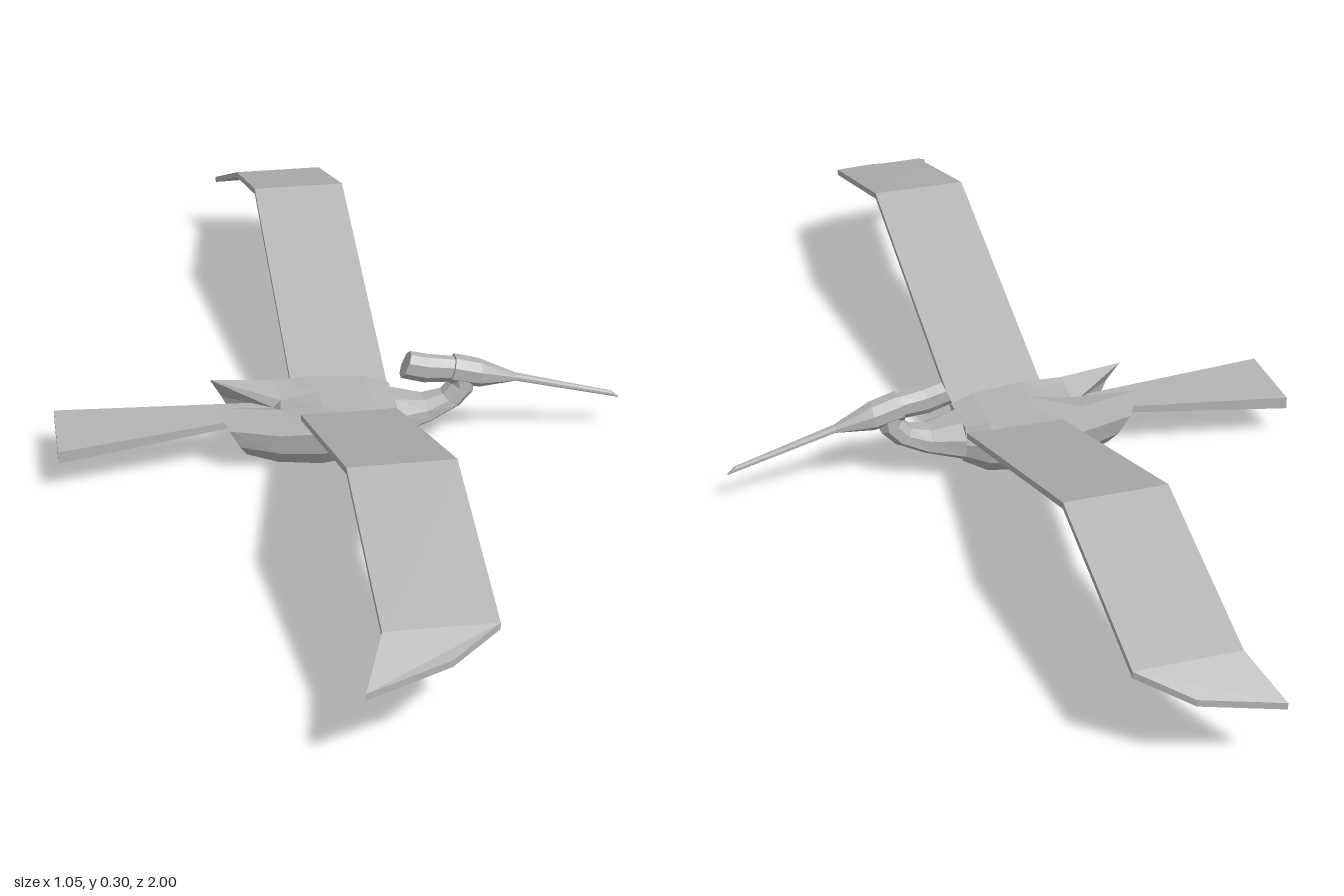
import * as THREE from 'three';

const grey = new THREE.MeshStandardMaterial({ color: 0xb4b4b4 });
grey.name = 'plumage grey';

// Faceted skin over a row of closed rings, capped at both ends
function skin(name, rings, flip = false) {
  const pos = [];
  const tri = (a, b, c) => pos.push(...a, ...(flip ? c : b), ...(flip ? b : c));
  const n = rings[0].length;
  for (let s = 0; s < rings.length - 1; s++) {
    for (let i = 0; i < n; i++) {
      const j = (i + 1) % n;
      tri(rings[s][i], rings[s][j], rings[s + 1][j]);
      tri(rings[s][i], rings[s + 1][j], rings[s + 1][i]);
    }
  }
  const first = rings[0], last = rings[rings.length - 1];
  for (let i = 1; i < n - 1; i++) {
    tri(first[0], first[i + 1], first[i]);
    tri(last[0], last[i], last[i + 1]);
  }
  const geo = new THREE.BufferGeometry();
  geo.setAttribute('position', new THREE.Float32BufferAttribute(pos, 3));
  geo.computeVertexNormals();
  const mesh = new THREE.Mesh(geo, grey);
  mesh.name = name;
  return mesh;
}

// Half cross-sections from top to bottom: [height share, width share]
const HULL = [[1, 0.8], [0.6, 1], [0.25, 0.9], [0, 0.6]];
const ROUND = [[1, 0.45], [0.72, 1], [0.28, 1], [0, 0.45]];

// Station: bottom x, bottom y, top x, top y, half width, optional top centre x, y
function section([bx, by, tx, ty, w, cx = tx, cy = ty], half) {
  const at = ([t, k], side) => [bx + (tx - bx) * t, by + (ty - by) * t, side * w * k];
  return [
    [cx, cy, 0],
    ...half.map((p) => at(p, 1)),
    ...half.slice().reverse().map((p) => at(p, -1)),
  ];
}
const loft = (name, stations, half) => skin(name, stations.map((s) => section(s, half)));

// Thin wing; each row is rear x, y, z and front x, y, z along its top
function wing(name, rows, flip) {
  const t = 0.012;
  return skin(name, rows.map(([rx, ry, rz, fx, fy, fz]) => [
    [fx, fy - t, fz], [fx, fy, fz], [rx, ry, rz], [rx, ry - t, rz],
  ]), flip);
}

export function createModel() {
  const bird = new THREE.Group();
  bird.name = 'flyingBird';

  // Boat-shaped body with a notched stern
  bird.add(loft('body', [
    [-0.185, 0.03, -0.24, 0.139, 0.068, -0.13, 0.1],
    [-0.127, 0.01, -0.124, 0.126, 0.072, -0.115, 0.115],
    [-0.045, 0, -0.045, 0.129, 0.073],
    [0.05, 0.012, 0.05, 0.122, 0.07],
    [0.095, 0.036, 0.093, 0.112, 0.056],
  ], HULL));

  // Neck bending up from the breast
  bird.add(loft('neck', [
    [0.095, 0.036, 0.093, 0.112, 0.056],
    [0.163, 0.056, 0.15, 0.101, 0.036],
    [0.217, 0.083, 0.185, 0.109, 0.028],
    [0.242, 0.11, 0.203, 0.129, 0.025],
    [0.246, 0.145, 0.2, 0.155, 0.022],
  ], ROUND));

  // Head running into the long beak
  bird.add(loft('headAndBeak', [
    [0.197, 0.13, 0.21, 0.18, 0.025],
    [0.255, 0.118, 0.258, 0.166, 0.025],
    [0.325, 0.121, 0.325, 0.134, 0.01],
    [0.515, 0.071, 0.512, 0.081, 0.005],
    [0.525, 0.067, 0.525, 0.07, 0.002],
  ], ROUND));

  // Crest pointing backwards
  bird.add(loft('crest', [
    [0.107, 0.147, 0.126, 0.193, 0.019],
    [0.15, 0.134, 0.16, 0.184, 0.018],
    [0.205, 0.131, 0.215, 0.175, 0.018],
  ], ROUND));

  // Fan tail
  bird.add(skin('tail', [
    [-0.528, 0.086, 0.063, 0.079], [-0.13, 0.1, 0.09, 0.023],
  ].map(([x, top, low, w]) => [[x, top, -w], [x, top, w], [x, low, w], [x, low, -w]])));

  // Cranked wings, banked slightly
  bird.add(wing('rightSideWing', [
    [-0.087, 0.112, 0.05, 0.092, 0.108, 0.05],
    [-0.087, 0.302, 0.58, 0.092, 0.302, 0.58],
    [-0.087, 0.212, 0.91, 0.092, 0.21, 0.91],
    [-0.125, 0.167, 0.997, 0.01, 0.188, 0.963],
  ], false));
  bird.add(wing('leftSideWing', [
    [-0.087, 0.105, -0.05, 0.092, 0.105, -0.05],
    [-0.087, 0.285, -0.587, 0.092, 0.285, -0.587],
    [-0.087, 0.186, -0.913, 0.092, 0.186, -0.913],
    [-0.125, 0.141, -1, 0.01, 0.156, -0.97],
  ], true));

  return bird;
}
